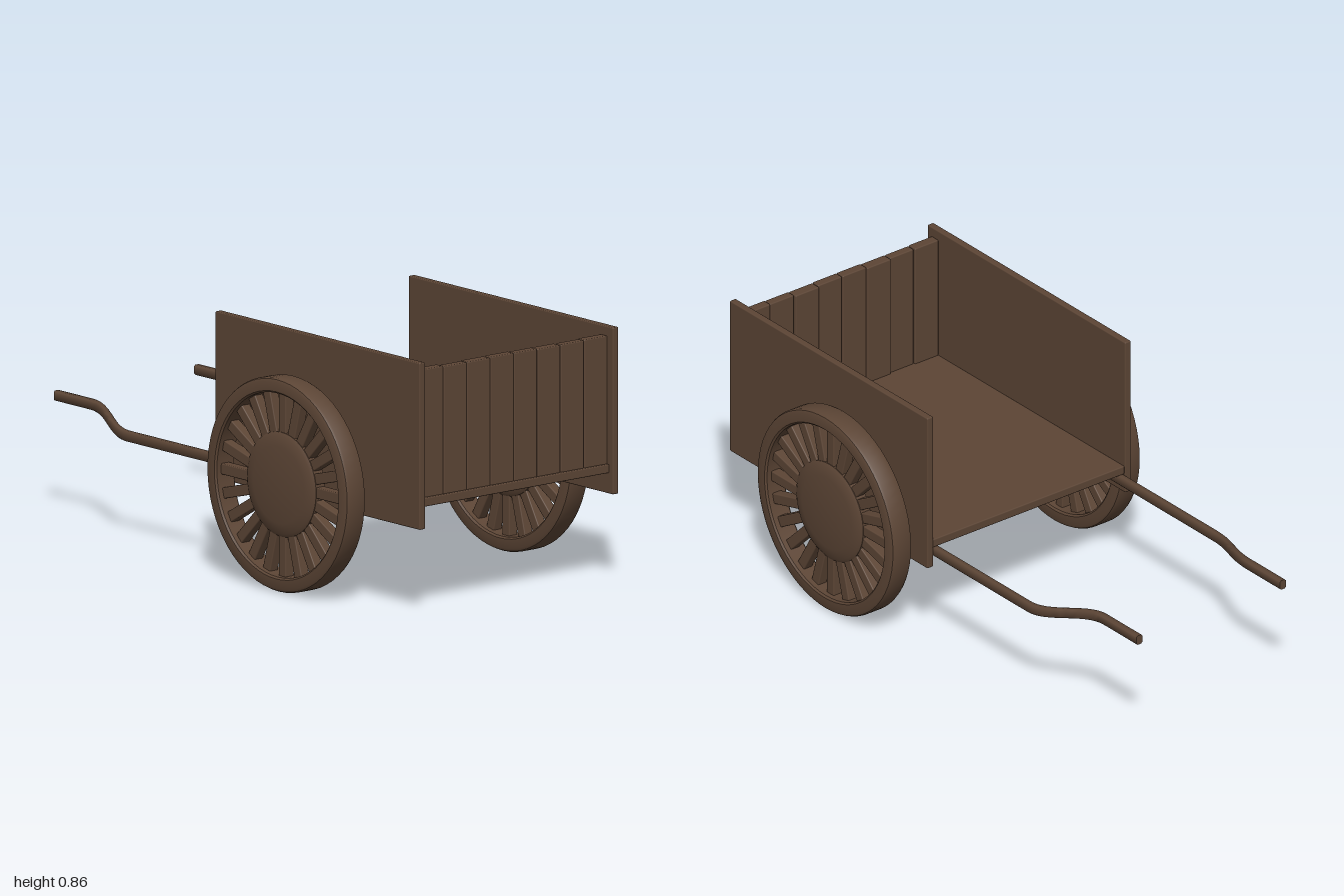
import * as THREE from 'three';
import { toCreasedNormals } from 'three/addons/utils/BufferGeometryUtils.js';
import { RoundedBoxGeometry } from 'three/addons/geometries/RoundedBoxGeometry.js';

const wood = new THREE.MeshStandardMaterial({ color: 0x5c4535 });

function add(parent, name, geometry, x = 0, y = 0, z = 0) {
  const mesh = new THREE.Mesh(geometry, wood);
  mesh.name = name;
  mesh.position.set(x, y, z);
  parent.add(mesh);
  return mesh;
}

// Board given by its limits on each axis
function board(parent, name, x0, x1, y0, y1, z0, z1, r = 0.004) {
  const g = new RoundedBoxGeometry(x1 - x0, y1 - y0, z1 - z0, 2, r);
  return add(parent, name, g, (x0 + x1) / 2, (y0 + y1) / 2, (z0 + z1) / 2);
}

// Lathe turned so that its axis runs along z
function turned(points) {
  const g = new THREE.LatheGeometry(points.map(([r, h]) => new THREE.Vector2(r, h)), 64);
  return toCreasedNormals(g.rotateX(Math.PI / 2), 0.6);
}

// Bar with rounded section that bends inward and upward toward its grip
function handleGeometry(side) {
  const w = 0.0125, h = 0.017, c = 0.005;
  const section = new THREE.Shape([
    [-w + c, -h], [w - c, -h], [w, -h + c], [w, h - c],
    [w - c, h], [-w + c, h], [-w, h - c], [-w, -h + c],
  ].map(([x, y]) => new THREE.Vector2(x, y)));
  const g = new THREE.ExtrudeGeometry(section, { depth: 1.4, steps: 70, bevelEnabled: false });
  g.rotateY(Math.PI / 2).translate(-1, 0, 0);
  const p = g.attributes.position;
  for (let i = 0; i < p.count; i++) {
    const bend = 1 - THREE.MathUtils.smoothstep(p.getX(i), -0.82, -0.53);
    p.setY(i, p.getY(i) + 0.353 + 0.046 * bend);
    p.setZ(i, p.getZ(i) + side * (0.391 - 0.088 * bend));
  }
  return toCreasedNormals(g, 0.9);
}

function createWheel() {
  const wheel = new THREE.Group();
  wheel.name = 'wheel';

  // Rim with rounded edges
  add(wheel, 'rim', turned([
    [0.31, -0.036], [0.316, -0.042], [0.347, -0.042], [0.356, -0.038], [0.36, -0.03],
    [0.36, 0.03], [0.356, 0.038], [0.347, 0.042], [0.316, 0.042], [0.31, 0.036], [0.31, -0.036],
  ]));

  // Shallow domed hub on both faces
  add(wheel, 'hub', turned([
    [0, -0.04], [0.07, -0.038], [0.13, -0.033], [0.165, -0.027], [0.176, -0.02],
    [0.176, 0.02], [0.165, 0.027], [0.13, 0.033], [0.07, 0.038], [0, 0.04],
  ]));

  // Spokes
  const count = 24;
  const spoke = new RoundedBoxGeometry(0.16, 0.037, 0.036, 2, 0.004);
  for (let i = 0; i < count; i++) {
    const a = (i + 0.5) / count * Math.PI * 2 + Math.PI / count;
    const mesh = add(wheel, 'spoke', spoke, Math.cos(a) * 0.24, Math.sin(a) * 0.24, 0);
    mesh.rotation.z = a;
  }
  return wheel;
}

export function createModel() {
  const cart = new THREE.Group();
  cart.name = 'handcart';

  board(cart, 'floor', -0.04, 0.982, 0.37, 0.4, -0.405, 0.405);

  // Upright planks closing one end
  const planks = 8, pitch = 0.81 / planks;
  for (let i = 0; i < planks; i++) {
    const z = -0.405 + i * pitch;
    const inner = 0.94 + 0.004 * Math.sin(i * 2.3);
    const top = 0.831 + 0.0015 * Math.cos(i * 1.7);
    board(cart, 'endPlank', inner, 0.974, 0.398, top, z + 0.001, z + pitch - 0.001);
  }

  // Mirrored side panels, handles and wheels
  for (const side of [1, -1]) {
    const z0 = side > 0 ? 0.405 : -0.43;
    board(cart, 'sidePanel', -0.042, 1, 0.3, 0.863, z0, z0 + 0.025);
    add(cart, 'handle', handleGeometry(side));
    const wheel = createWheel();
    wheel.position.set(0.382, 0.36, side * 0.483);
    cart.add(wheel);
  }
  return cart;
}
